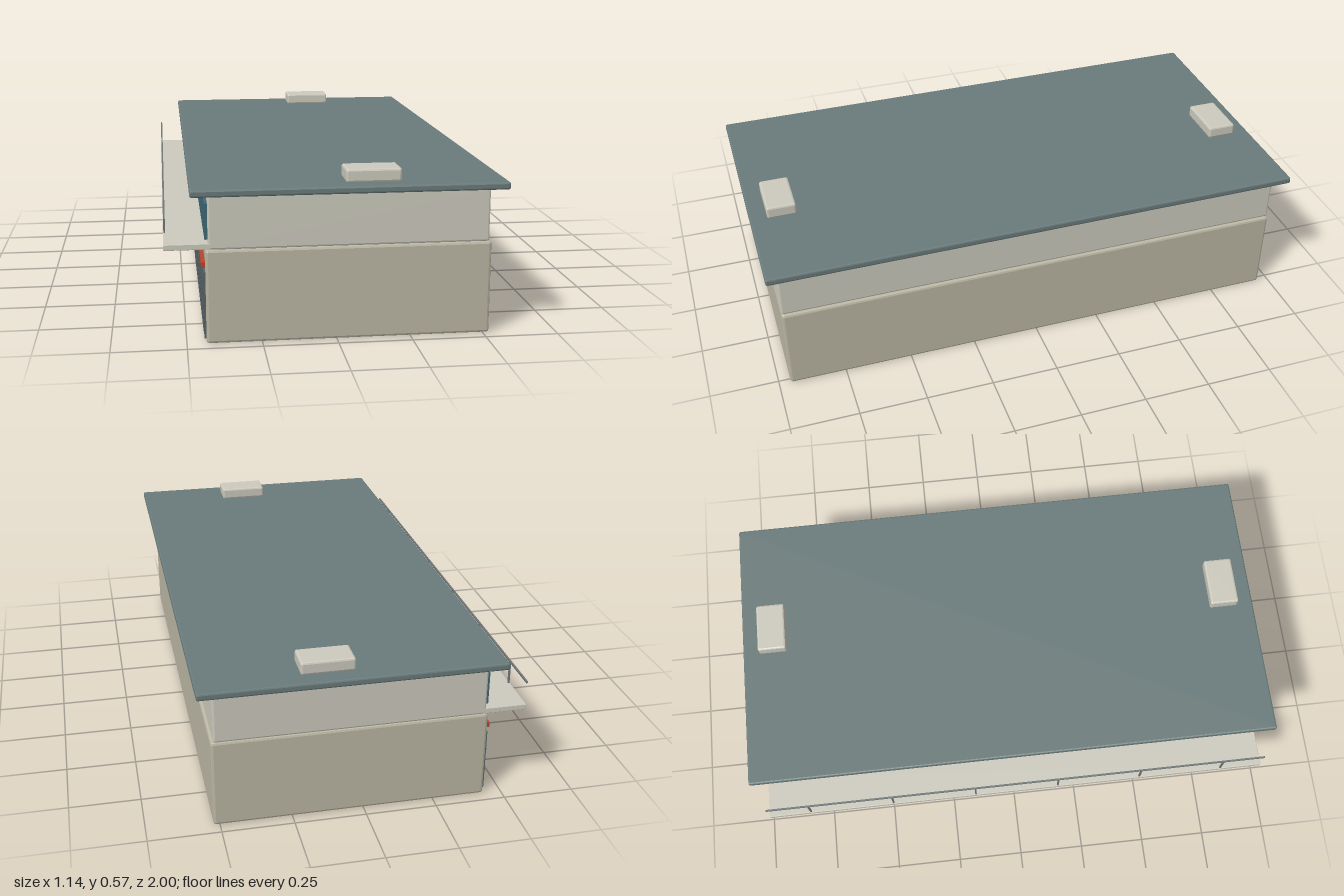
import * as THREE from 'three';
import { RoundedBoxGeometry } from 'three/addons/geometries/RoundedBoxGeometry.js';

const mat = (color) => new THREE.MeshStandardMaterial({ color, flatShading: true });

export function createModel() {
  const model = new THREE.Group();
  model.name = 'building';
  const lowerMat = mat(0xbab6a3), paleMat = mat(0xcccabd), roofMat = mat(0x6a7a7a);
  const doorMat = mat(0x5a656a), ribMat = mat(0x4a5459), glassMat = mat(0x3f6875);
  const redMat = mat(0xb5452f), railMat = mat(0x70787a);

  // Box given by its extents on each axis, with an optional edge bevel
  function box(parent, name, material, [x0, x1], [y0, y1], [z0, z1], bevel = 0) {
    const w = x1 - x0, h = y1 - y0, d = z1 - z0;
    const geometry = bevel ? new RoundedBoxGeometry(w, h, d, 1, bevel) : new THREE.BoxGeometry(w, h, d);
    const mesh = new THREE.Mesh(geometry, material);
    mesh.position.set((x0 + x1) / 2, (y0 + y1) / 2, (z0 + z1) / 2);
    mesh.name = name;
    parent.add(mesh);
  }

  // Storeys and roof
  const end = 0.958;
  box(model, 'lowerStorey', lowerMat, [-0.435, 0.522], [0, 0.321], [-end, end], 0.009);
  box(model, 'upperStorey', paleMat, [-0.426, 0.513], [0.321, 0.505], [-end, end], 0.007);
  box(model, 'roof', roofMat, [-0.483, 0.567], [0.505, 0.53], [-1, 1], 0.006);

  // Rooftop units near both ends
  for (const s of [-1, 1]) {
    box(model, 'rooftopUnit', paleMat, [0.03, 0.216], [0.528, 0.573], [s * 0.883 - 0.054, s * 0.883 + 0.054], 0.007);
  }

  // Balcony along the bay side
  box(model, 'balcony', paleMat, [-0.57, -0.415], [0.323, 0.343], [-end, end], 0.002);
  box(model, 'handrail', railMat, [-0.568, -0.562], [0.425, 0.432], [-end, end]);

  // Six equal bays: door with ribs, red strip, window and railing post
  const bays = 6, pitch = (2 * end) / bays;
  for (let i = 0; i < bays; i++) {
    const bay = new THREE.Group();
    bay.name = 'bay' + (i + 1);
    bay.position.z = -end + pitch * (i + 0.5);
    model.add(bay);
    const span = [-0.145, 0.145];
    box(bay, 'door', doorMat, [-0.441, -0.43], [0.015, 0.243], span);
    for (let r = 0; r < 5; r++) {
      const y = 0.04 + r * 0.042;
      box(bay, 'doorRib', ribMat, [-0.444, -0.438], [y, y + 0.005], [-0.14, 0.14]);
    }
    box(bay, 'redStrip', redMat, [-0.449, -0.434], [0.257, 0.275], [-0.14, 0.14]);
    box(bay, 'window', glassMat, [-0.436, -0.42], [0.353, 0.474], span);
    box(bay, 'railingPost', railMat, [-0.568, -0.562], [0.34, 0.428], [-0.003, 0.003]);
  }
  return model;
}
